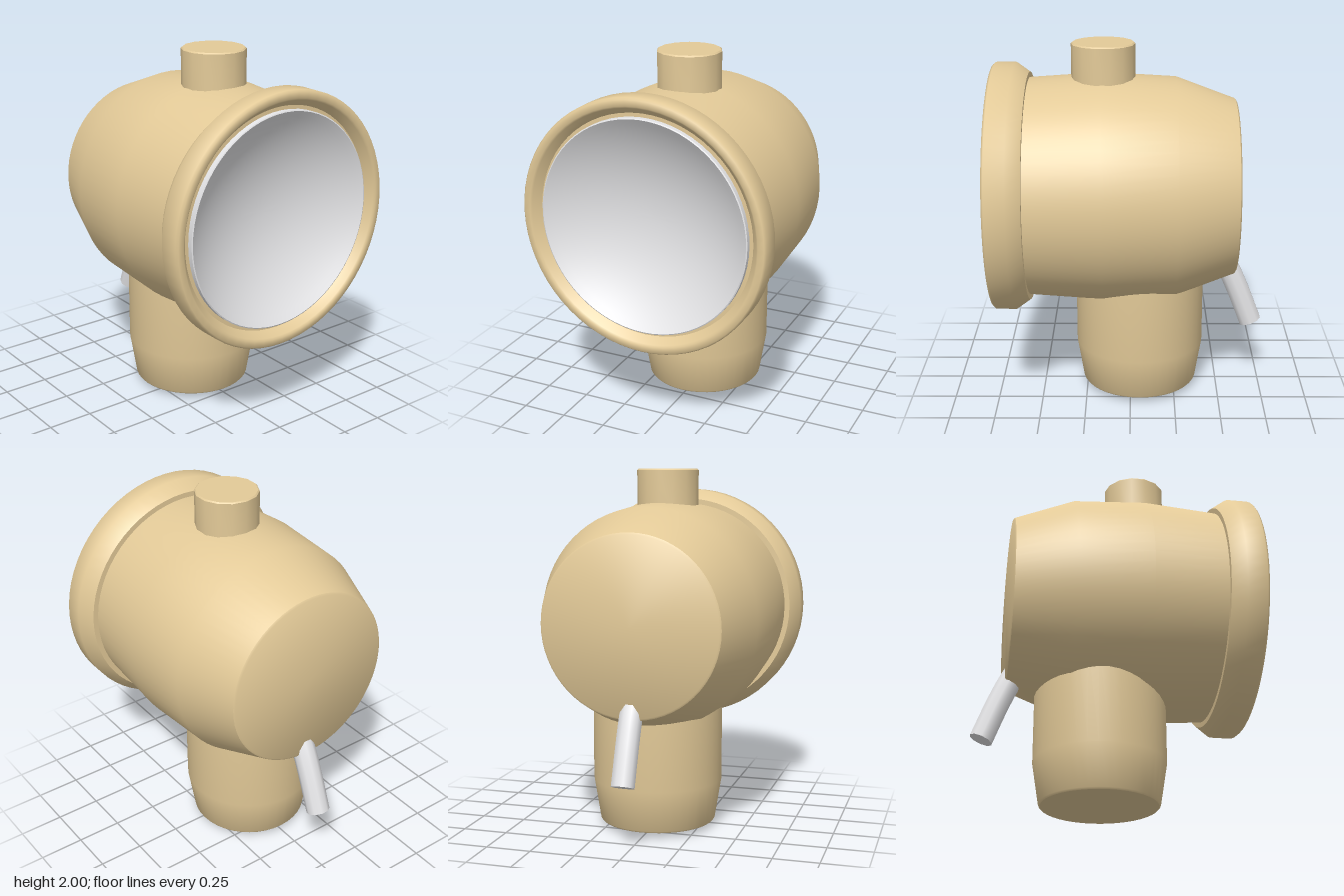
import * as THREE from 'three';
import { toCreasedNormals } from 'three/addons/utils/BufferGeometryUtils.js';

const AXIS_Y = 1.19; // height of the lamp's horizontal axis

// Solid of revolution from [radius, height] pairs, listed bottom to top
function turned(profile, segments, crease = 0.6) {
  const points = profile.map(([r, h]) => new THREE.Vector2(r, h));
  return toCreasedNormals(new THREE.LatheGeometry(points, segments), crease);
}

export function createModel() {
  const group = new THREE.Group();
  const tan = new THREE.MeshStandardMaterial({ color: 0xe3ca98 });
  tan.name = 'tanPaint';
  const silver = new THREE.MeshStandardMaterial({ color: 0xe4e4e6 });
  silver.name = 'silver';

  const add = (name, geometry, material, x = 0, y = 0) => {
    const mesh = new THREE.Mesh(geometry, material);
    mesh.name = name;
    mesh.position.set(x, y, 0);
    group.add(mesh);
  };
  const addSideways = (name, geometry, material) => {
    add(name, geometry.rotateZ(-Math.PI / 2), material, 0, AXIS_Y);
  };

  // Barrel-shaped housing with a slightly domed back
  addSideways('housing', turned([
    [0, -0.59], [0.48, -0.582], [0.49, -0.575], [0.61, -0.25],
    [0.633, 0.15], [0.605, 0.56],
  ], 64), tan);

  // Flared front rim with softly rounded edges and a bevelled opening
  addSideways('rim', turned([
    [0.58, 0.555], [0.635, 0.555], [0.688, 0.63], [0.688, 0.738], [0.678, 0.75],
    [0.645, 0.75], [0.635, 0.742], [0.602, 0.7], [0.575, 0.7],
  ], 64, 0.9), tan);

  // Concave reflector: a shallow spherical cap with a short outer lip
  const R = 0.576, depth = 0.19;
  const sphere = (R * R + depth * depth) / (2 * depth);
  const half = Math.asin(R / sphere);
  const bowl = [[R + 0.006, 0.68], [R + 0.006, 0.727]];
  for (let i = 0; i <= 14; i++) {
    const a = half * (1 - i / 14);
    bowl.push([sphere * Math.sin(a), 0.73 - depth + sphere * (1 - Math.cos(a))]);
  }
  addSideways('reflector', turned(bowl, 64), silver);

  // Mounting leg, tapered towards a shallow pointed foot
  add('leg', turned([
    [0, 0], [0.318, 0.03], [0.326, 0.04], [0.363, 0.27], [0.363, 0.8], [0, 0.8],
  ], 40), tan, -0.053);

  // Fourteen-sided cap on top
  add('topCap', turned([
    [0.174, 1.7], [0.174, 1.993], [0.167, 2], [0, 2],
  ], 14).rotateY(Math.PI / 2), tan, 0.147);

  // Cable stub curving down from the back, closed at its lower end
  const path = new THREE.CatmullRomCurve3([
    [-0.695, 0.372], [-0.61, 0.59], [-0.545, 0.73], [-0.45, 0.88],
  ].map(([x, y]) => new THREE.Vector3(x, y, 0)));
  add('cable', new THREE.TubeGeometry(path, 16, 0.065, 10), silver);
  const t = path.getTangent(0);
  add('cableEnd', new THREE.CircleGeometry(0.065, 10)
    .rotateZ(Math.PI / 2)
    .rotateX(Math.PI / 2)
    .rotateZ(Math.atan2(t.y, t.x) - Math.PI / 2), silver, -0.695, 0.372);

  return group;
}
